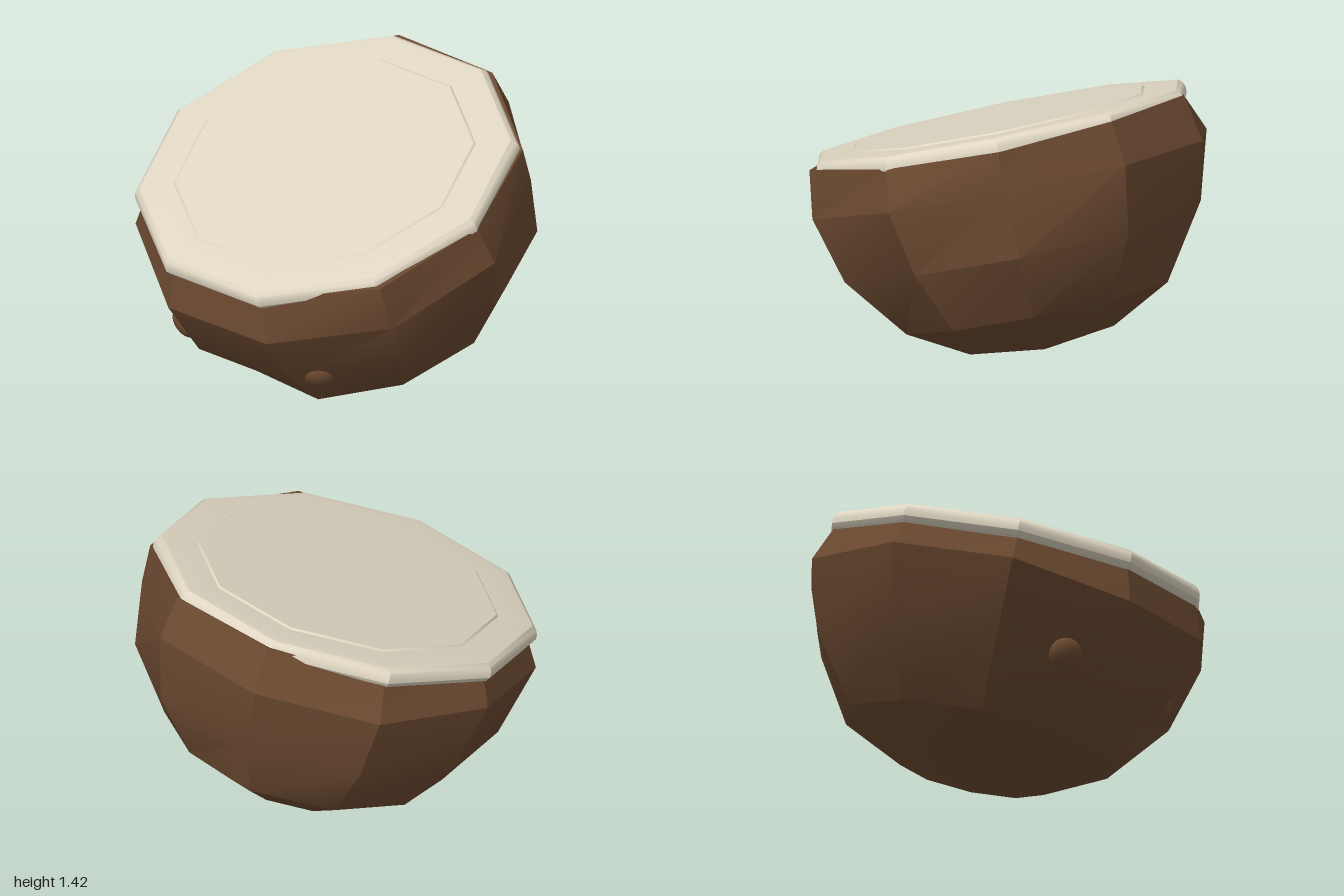
import * as THREE from 'three';
import { toCreasedNormals } from 'three/addons/utils/BufferGeometryUtils.js';

const SIDES = 10;
const TURN = 0.025;

// Faceted bowl: each ring gives [radius, height] for corner k, from the lip down to the pole
function shellGeometry() {
  const lipRadius = [0.93, 1.0, 0.955, 0.972, 0.98, 0.982, 0.95, 0.94, 0.93, 0.93];
  const lipHeight = [0.22, 0.24, 0.21, 0.2, 0.225, 0.24, 0.21, 0.22, 0.22, 0.22];
  const girth = [1.025, 1.035, 1.01, 0.968, 1.02, 1.03, 1.04, 1.02, 1.02, 1.03];
  const uneven = (k, j) => 0.018 * Math.sin(k * 2.4 + j * 1.9);
  const rings = [
    () => [0.84, 0.2],
    k => [lipRadius[k], lipHeight[k]],
    k => [girth[k], k === 7 || k === 8 ? 0.05 : 0],
    k => [0.92 + uneven(k, 3), -0.34],
    k => [0.69 + uneven(k, 4), -0.66],
    () => [0.38, -0.828],
    () => [0, -0.885],
  ];
  const pos = [], index = [];
  for (const ring of rings) {
    for (let k = 0; k < SIDES; k++) {
      const a = TURN + k / SIDES * Math.PI * 2;
      const [r, h] = ring(k);
      pos.push(r * Math.sin(a) + 0.01, h, r * Math.cos(a));
    }
  }
  for (let j = 0; j < rings.length - 1; j++) {
    for (let k = 0; k < SIDES; k++) {
      const n = (k + 1) % SIDES;
      const a = j * SIDES + k, b = j * SIDES + n, c = a + SIDES, d = b + SIDES;
      index.push(a, c, b);
      if (j < rings.length - 2) index.push(b, c, d);
    }
  }
  const geo = new THREE.BufferGeometry();
  geo.setAttribute('position', new THREE.Float32BufferAttribute(pos, 3));
  geo.setIndex(index);
  return toCreasedNormals(geo, 0.42);
}

// Ten-sided flesh disc with a rounded rim and a slightly raised middle
function fleshGeometry() {
  const profile = [
    [0.8, 0.15], [0.925, 0.155], [0.955, 0.175], [0.972, 0.2], [0.972, 0.225],
    [0.962, 0.25], [0.94, 0.268], [0.91, 0.272], [0.765, 0.272], [0.755, 0.281], [0, 0.281],
  ].map(([x, y]) => new THREE.Vector2(x, y));
  return toCreasedNormals(new THREE.LatheGeometry(profile, SIDES, TURN), 0.5);
}

export function createModel() {
  const brown = new THREE.MeshStandardMaterial({ color: 0x6b4930 });
  brown.name = 'shellBrown';
  const cream = new THREE.MeshStandardMaterial({ color: 0xdfd6c2 });
  cream.name = 'fleshCream';

  const model = new THREE.Group();
  model.name = 'halvedNut';

  // Tilted half: shell and flesh share one axis
  const half = new THREE.Group();
  half.name = 'half';
  half.position.y = 0.9;
  half.quaternion.setFromUnitVectors(
    new THREE.Vector3(0, 1, 0), new THREE.Vector3(-0.13, 1, 0.265).normalize());
  model.add(half);

  const add = (parent, name, geo, mat) => {
    const mesh = new THREE.Mesh(geo, mat);
    mesh.name = name;
    parent.add(mesh);
    return mesh;
  };
  add(half, 'shell', shellGeometry(), brown);
  add(half, 'flesh', fleshGeometry(), cream).position.x = -0.005;

  // Small bumps on the front of the shell
  const bump = new THREE.SphereGeometry(1, 16, 12);
  [[-0.6, 0.345, 0.49], [0.215, 0.365, 0.72]].forEach(([x, y, z], i) => {
    const mesh = add(model, i ? 'leftBump' : 'rightBump', bump, brown);
    mesh.position.set(x, y, z);
    mesh.scale.set(0.085, 0.085, 0.055);
    mesh.lookAt(x * 2, y * 2 - 0.9, z * 2);
  });
  return model;
}
